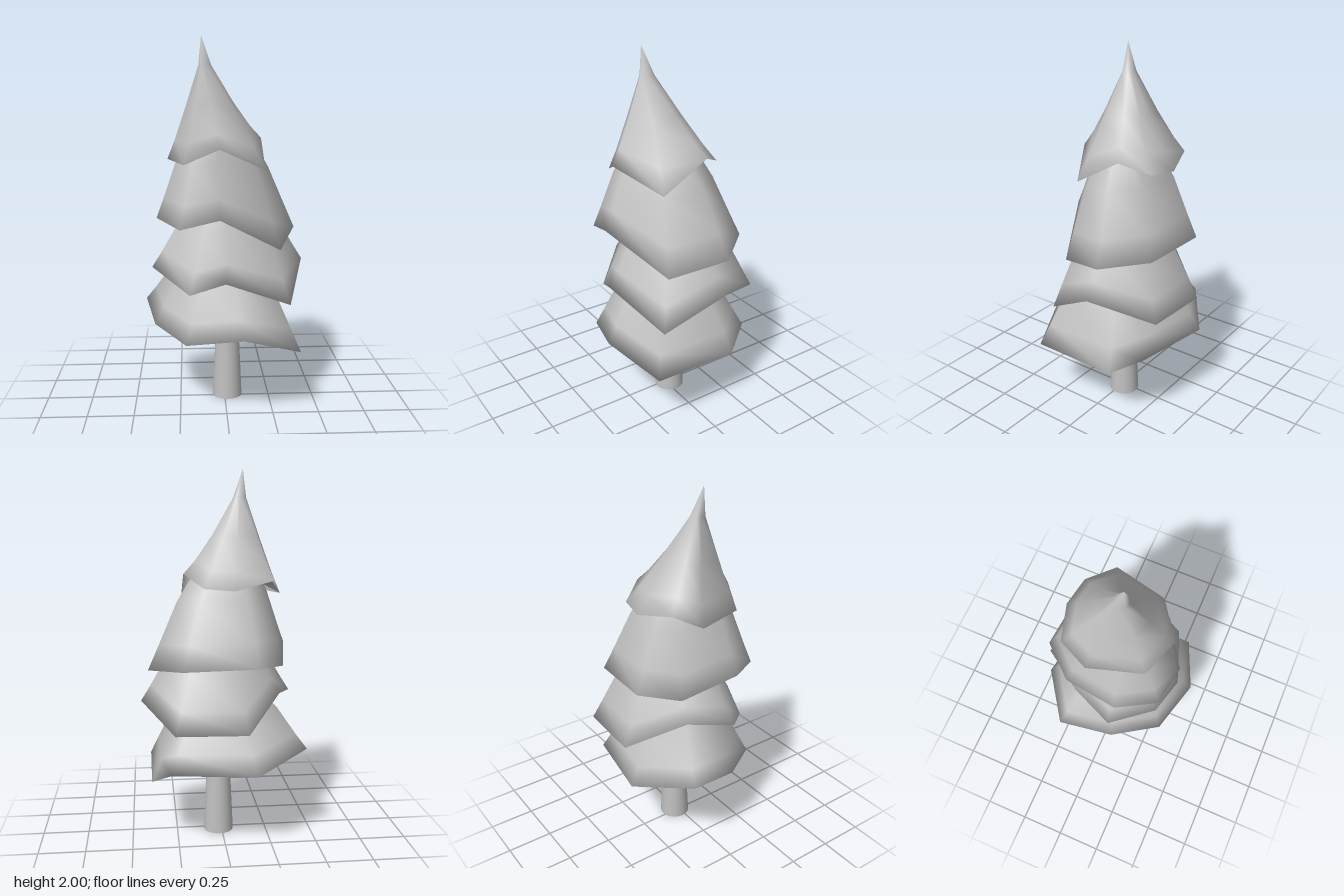
import * as THREE from 'three';
import { mergeVertices } from 'three/addons/utils/BufferGeometryUtils.js';

// Outlines from the tip down to the rim: [width scale, fraction of the rise to the tip]
const SKIRT = [[0, 1], [0.35, 0.8], [0.66, 0.48], [0.87, 0.18]];
const SPIRE = [[0, 1], [0.13, 0.755], [0.5, 0.41], [0.8, 0.15]];
// Shallow hollow below each tier, from the rim inwards
const HOLLOW = [[0.8, 0.08], [0, 0.2]];

// Closed shell: the ragged rim shrinks and leans towards the tip.
// Rim corners run counter-clockwise seen from above.
function tierGeometry(rim, tip, outline) {
  const n = rim.length;
  const centre = tip.map((_, k) => rim.reduce((sum, p) => sum + p[k], 0) / n);
  const ring = ([scale, rise]) => rim.map((p) => p.map((v, k) => {
    const axis = centre[k] + rise * (tip[k] - centre[k]);
    const spread = k === 1 ? scale * scale : scale;
    return axis + spread * (v - centre[k]);
  }));
  const loops = [...outline.map(ring), rim, ...HOLLOW.map(ring)];
  const index = [];
  for (let i = 0; i < loops.length - 1; i++) {
    for (let j = 0; j < n; j++) {
      const a = i * n + j, b = i * n + (j + 1) % n;
      if (i < loops.length - 2) index.push(a, a + n, b + n);
      if (i > 0) index.push(a, b + n, b);
    }
  }
  const geometry = new THREE.BufferGeometry();
  geometry.setAttribute('position', new THREE.Float32BufferAttribute(loops.flat(2), 3));
  geometry.setIndex(index);
  const merged = mergeVertices(geometry, 1e-4);
  merged.computeVertexNormals();
  return merged;
}

export function createModel() {
  const grey = new THREE.MeshStandardMaterial({ color: 0xc0c0c0 });
  grey.name = 'plain grey';
  const tree = new THREE.Group();
  tree.name = 'pineTree';

  const add = (name, geometry) => {
    const mesh = new THREE.Mesh(geometry, grey);
    mesh.name = name;
    tree.add(mesh);
    return mesh;
  };

  // Tapered trunk running up into the lowest tier
  add('trunk', new THREE.CylinderGeometry(0.05, 0.083, 0.7, 20)).position.set(0.016, 0.35, -0.02);

  // Overlapping skirts of branches, each with its own uneven rim
  add('bottomTier', tierGeometry([
    [0.39, 0.36, 0.295], [0.39, 0.355, -0.19], [0.29, 0.44, -0.34], [-0.153, 0.445, -0.42],
    [-0.446, 0.52, -0.214], [-0.385, 0.46, 0.09], [-0.215, 0.42, 0.335], [0.08, 0.47, 0.42],
  ], [0, 0.98, 0], SKIRT));

  add('lowerMiddleTier', tierGeometry([
    [0.34, 0.6, 0.23], [0.44, 0.78, -0.09], [0.27, 0.67, -0.405], [-0.103, 0.67, -0.424],
    [-0.3, 0.82, -0.16], [-0.396, 0.78, 0.08], [-0.195, 0.675, 0.29], [-0.01, 0.75, 0.348],
  ], [0.02, 1.28, -0.02], SKIRT));

  add('upperMiddleTier', tierGeometry([
    [0.29, 0.885, 0.17], [0.4, 0.955, -0.13], [0.226, 0.985, -0.343], [-0.157, 1, -0.372],
    [-0.309, 0.98, -0.2], [-0.367, 1.055, 0.11], [-0.243, 1.025, 0.31], [-0.04, 1.08, 0.348],
  ], [-0.05, 1.68, 0.01], SKIRT));

  // Leaning, pointed crown
  add('topTier', tierGeometry([
    [0.208, 1.31, 0.145], [0.208, 1.46, -0.12], [0.11, 1.395, -0.257], [-0.045, 1.385, -0.288],
    [-0.255, 1.43, -0.22], [-0.31, 1.35, -0.07], [-0.22, 1.345, 0.215], [-0.04, 1.43, 0.295],
  ], [-0.125, 2, 0.06], SPIRE));

  return tree;
}
